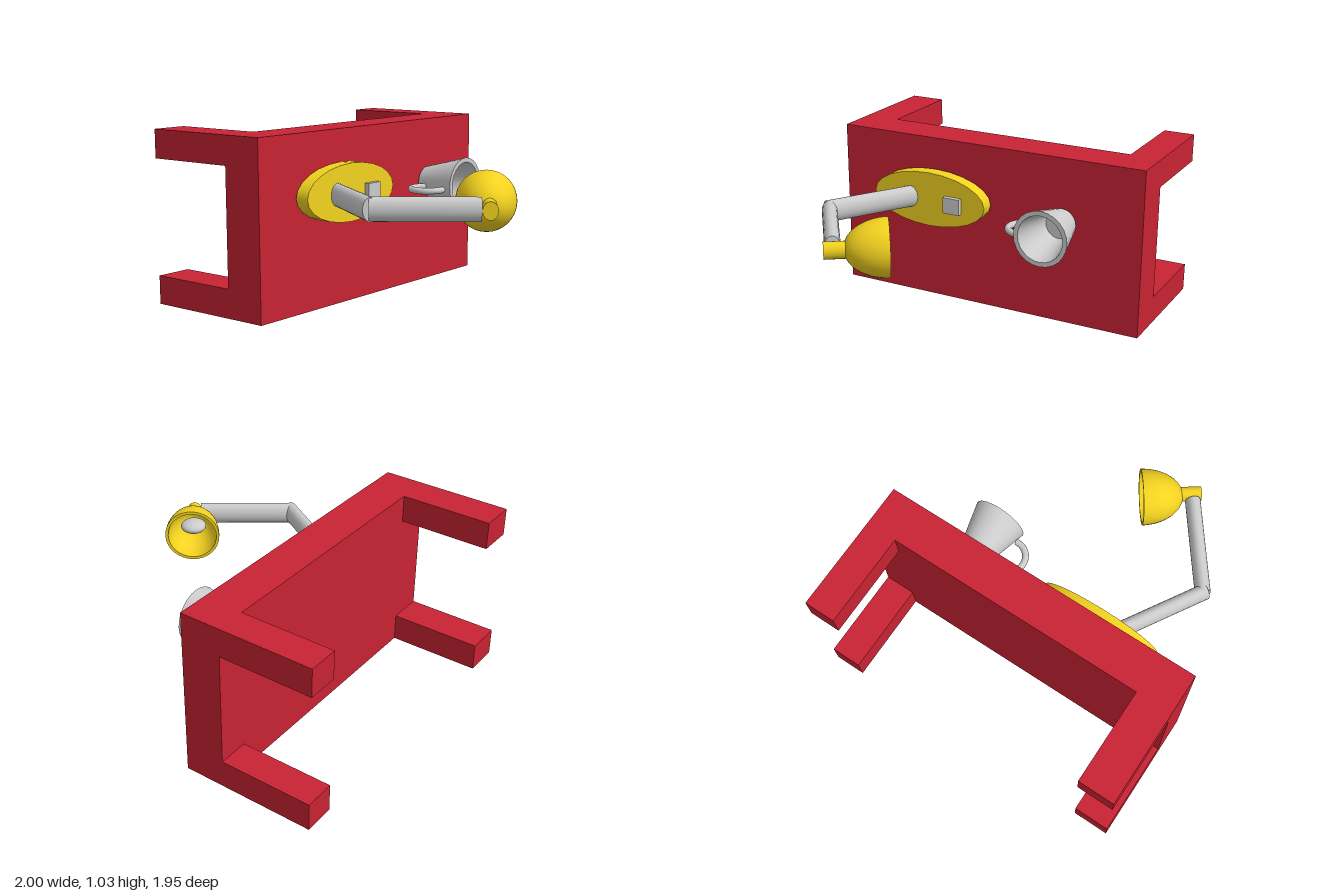
import * as THREE from 'three';
import { toCreasedNormals } from 'three/addons/utils/BufferGeometryUtils.js';

const red = new THREE.MeshStandardMaterial({ color: 0xc82333 });
const yellow = new THREE.MeshStandardMaterial({ color: 0xf2d21f });
const grey = new THREE.MeshStandardMaterial({ color: 0xcccccc });

function add(parent, name, geometry, material, x = 0, y = 0, z = 0) {
  const mesh = new THREE.Mesh(geometry, material);
  mesh.name = name;
  mesh.position.set(x, y, z);
  parent.add(mesh);
  return mesh;
}

// Box given by its limits on each axis
function boxBetween(parent, name, material, [x0, x1], [y0, y1], [z0, z1]) {
  const geometry = new THREE.BoxGeometry(x1 - x0, y1 - y0, z1 - z0);
  return add(parent, name, geometry, material, (x0 + x1) / 2, (y0 + y1) / 2, (z0 + z1) / 2);
}

// Oval rod lying level at height y, between two [x, z] points
function rod(parent, name, material, y, a, b, halfWidth, halfHeight) {
  const dx = b[0] - a[0], dz = b[1] - a[1];
  const geometry = new THREE.CylinderGeometry(1, 1, Math.hypot(dx, dz), 20);
  geometry.rotateX(Math.PI / 2).scale(halfWidth, halfHeight, 1);
  const mesh = add(parent, name, geometry, material, (a[0] + b[0]) / 2, y, (a[1] + b[1]) / 2);
  mesh.rotation.y = Math.atan2(dx, dz);
  return mesh;
}

// Turned shape whose axis points along +z
function turned(points, segments) {
  const profile = points.map(([r, h]) => new THREE.Vector2(r, h));
  return toCreasedNormals(new THREE.LatheGeometry(profile, segments).rotateX(Math.PI / 2), 0.6);
}

function createTable() {
  const table = new THREE.Group();
  table.name = 'table';
  boxBetween(table, 'tableTop', red, [-1, 1], [0, 1.03], [-0.41, -0.16]);
  for (const xs of [[-1, -0.78], [0.81, 1]]) {
    for (const ys of [[0, 0.17], [0.86, 1.03]]) {
      boxBetween(table, 'tableLeg', red, xs, ys, [-0.98, -0.41]);
    }
  }
  return table;
}

function createLamp() {
  const lamp = new THREE.Group();
  lamp.name = 'lamp';
  const y = 0.67;

  // Oval foot with a switch
  const foot = new THREE.CylinderGeometry(1, 1, 0.085, 24);
  foot.rotateX(Math.PI / 2).scale(0.383, 0.17, 1);
  add(lamp, 'lampBase', foot, yellow, -0.345, y, -0.0975);
  boxBetween(lamp, 'switch', grey, [-0.23, -0.12], [0.61, 0.71], [-0.07, -0.025]);

  // Two bent arms and the lamp socket
  rod(lamp, 'lowerArm', grey, y, [-0.46, -0.08], [-0.765, 0.42], 0.046, 0.067);
  rod(lamp, 'upperArm', grey, y, [-0.757, 0.4], [-0.404, 0.874], 0.046, 0.067);
  rod(lamp, 'socket', yellow, y, [-0.42, 0.94], [-0.32, 0.868], 0.043, 0.05);

  // Domed shade: outer shell, rim, then inner shell
  const head = new THREE.Group();
  head.name = 'lampHead';
  head.position.set(-0.134, y, 0.724);
  head.rotation.y = Math.atan2(0.81, -0.58);
  lamp.add(head);
  const steps = 14, profile = [];
  for (let i = 0; i <= steps; i++) {
    const t = (i / steps) * Math.PI / 2;
    profile.push([0.17 * Math.sin(t), -0.25 * Math.cos(t)]);
  }
  for (let i = steps; i >= 0; i--) {
    const t = (i / steps) * Math.PI / 2;
    profile.push([0.152 * Math.sin(t), -0.23 * Math.cos(t)]);
  }
  add(head, 'shade', turned(profile, 32), yellow);
  const bulb = new THREE.SphereGeometry(1, 24, 16).scale(0.08, 0.04, 0.08);
  add(head, 'bulb', bulb, grey, 0, 0.01, -0.114);
  return lamp;
}

function createMug() {
  const mug = new THREE.Group();
  mug.name = 'mug';
  mug.position.set(0.503, 0.637, 0);
  const profile = [
    [0, -0.14], [0.093, -0.14], [0.168, 0.152], [0.14, 0.152], [0.085, -0.11], [0, -0.11],
  ];
  add(mug, 'mugBody', turned(profile, 24), grey);
  // Ring handle, ending inside the mug wall
  const arc = THREE.MathUtils.degToRad(235);
  const handle = new THREE.TorusGeometry(0.102, 0.02, 12, 28, arc);
  handle.rotateZ(THREE.MathUtils.degToRad(83)).rotateX(Math.PI / 2);
  add(mug, 'mugHandle', handle, grey, -0.17, -0.022, -0.013);
  return mug;
}

export function createModel() {
  const model = new THREE.Group();
  model.name = 'tableWithLampAndMug';
  model.add(createTable(), createLamp(), createMug());
  return model;
}
